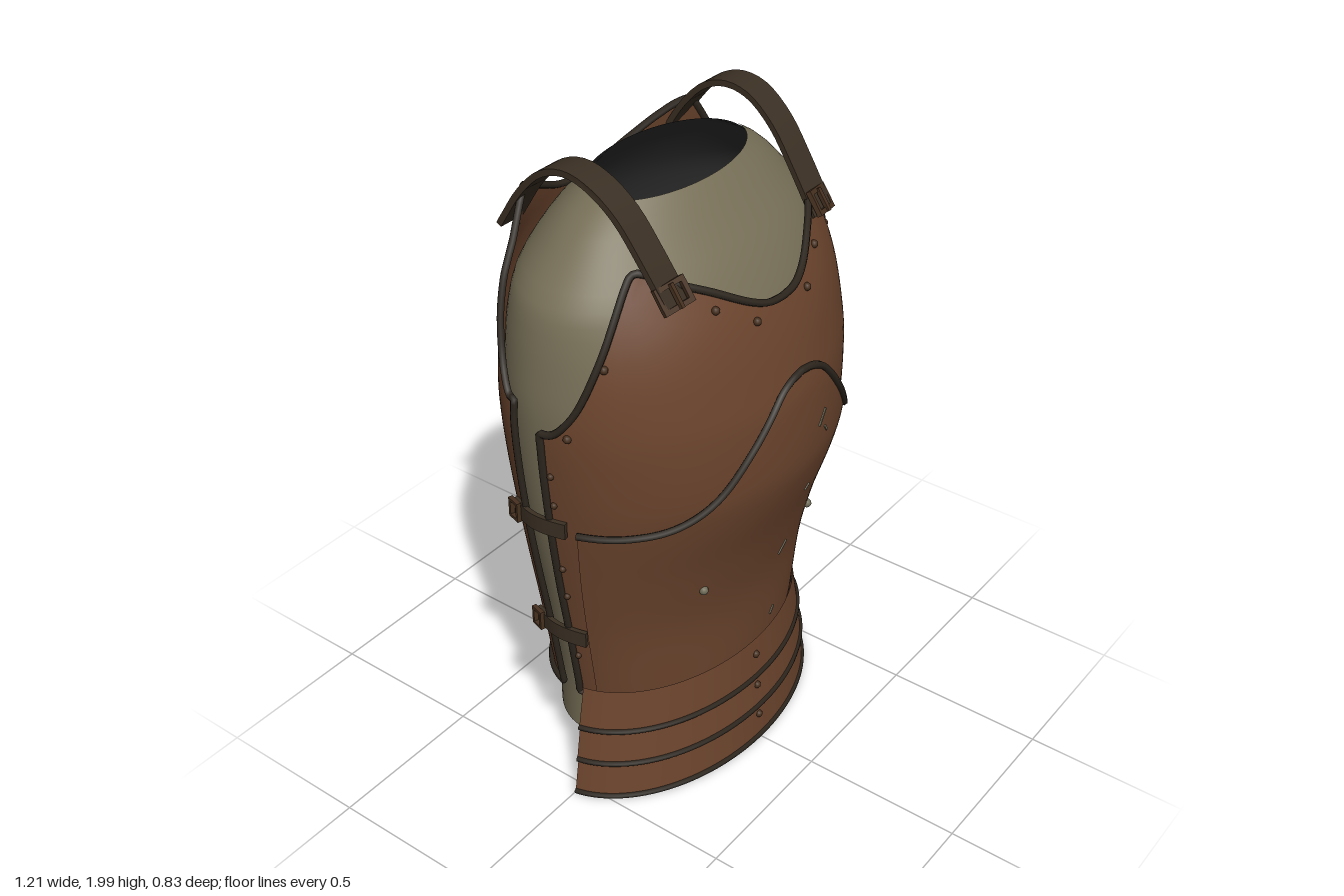
import * as THREE from 'three';
import { mergeVertices, toCreasedNormals } from 'three/addons/utils/BufferGeometryUtils.js';

const RAD = Math.PI / 180, Z0 = -0.05;

// Smooth interpolation through [position, value] pairs
function curve(keys) {
  const n = keys.length - 1;
  const slope = i => {
    const a = keys[Math.max(0, i - 1)], b = keys[Math.min(n, i + 1)];
    return (b[1] - a[1]) / (b[0] - a[0]);
  };
  return p => {
    let i = 0;
    while (i < n - 1 && p > keys[i + 1][0]) i++;
    const h = keys[i + 1][0] - keys[i][0];
    const t = Math.min(1, Math.max(0, (p - keys[i][0]) / h)), t2 = t * t, t3 = t2 * t;
    return (2 * t3 - 3 * t2 + 1) * keys[i][1] + (t3 - 2 * t2 + t) * h * slope(i)
      + (3 * t2 - 2 * t3) * keys[i + 1][1] + (t3 - t2) * h * slope(i + 1);
  };
}

// Torso half widths and depths by height
const plateWidth = [[.34, .46], [.6, .5], [.8, .535], [1, .565], [1.2, .585], [1.35, .59], [1.5, .575]];
const frontWidth = curve([...plateWidth, [1.6, .55], [1.7, .51], [1.76, .475]]);
const backWidth = curve([...plateWidth, [1.6, .565], [1.7, .545], [1.76, .52], [1.88, .48]]);
const frontDepth = curve([[.34, .305], [.6, .325], [.8, .37], [1, .435], [1.1, .457], [1.3, .455], [1.4, .438],
  [1.5, .415], [1.6, .38], [1.7, .33], [1.76, .3]]);
const backDepth = curve([[.34, .275], [.6, .295], [.8, .31], [1, .33], [1.2, .355], [1.35, .367], [1.5, .365],
  [1.6, .355], [1.7, .33], [1.76, .31], [1.88, .29]]);
const linerWidth = curve([[.16, .435], [.34, .44], [.6, .48], [1, .545], [1.35, .57], [1.5, .56], [1.6, .545],
  [1.67, .525], [1.72, .485], [1.78, .43], [1.84, .37], [1.89, .295]]);
const linerFront = curve([[.16, .27], [.34, .28], [.6, .3], [1, .4], [1.3, .42], [1.5, .385], [1.6, .35],
  [1.67, .315], [1.72, .285], [1.78, .24], [1.84, .195], [1.89, .155]]);
const linerBack = curve([[.16, .26], [.34, .26], [.6, .275], [1, .31], [1.35, .345], [1.5, .343], [1.6, .33],
  [1.7, .3], [1.78, .255], [1.84, .21], [1.89, .17]]);

// Surfaces: angle (degrees from the middle), height, outward offset -> point
const front = (d, y, o = 0) => new THREE.Vector3(
  (frontWidth(y) + o) * Math.sin(d * RAD), y, Z0 + (frontDepth(y) + o) * Math.cos(d * RAD));
const back = (d, y, o = 0) => {
  const spine = .012 * Math.exp(-((d / 9) ** 2)) * THREE.MathUtils.smoothstep(y, .7, 1.4);
  return new THREE.Vector3(-(backWidth(y) + o) * Math.sin(d * RAD), y,
    Z0 - (backDepth(y) + o - spine) * Math.cos(d * RAD));
};
const liner = (d, y, o = 0) => {
  const c = Math.cos(d * RAD);
  return new THREE.Vector3((linerWidth(y) + o) * Math.sin(d * RAD), y,
    Z0 + ((c > 0 ? linerFront : linerBack)(y) + o) * c);
};

// Curved sheet between a bottom height and a top edge that varies with angle
function sheet(surface, max, y0, top, off = 0, nu = 80, nv = 40) {
  const pos = [], idx = [];
  for (let j = 0; j <= nv; j++) for (let i = 0; i <= nu; i++) {
    const d = -max + 2 * max * i / nu;
    pos.push(...surface(d, y0 + (top(Math.abs(d)) - y0) * j / nv, off));
  }
  for (let j = 0; j < nv; j++) for (let i = 0; i < nu; i++) {
    const a = j * (nu + 1) + i, b = a + nu + 1;
    idx.push(a, a + 1, b + 1, a, b + 1, b);
  }
  let g = new THREE.BufferGeometry();
  g.setAttribute('position', new THREE.Float32BufferAttribute(pos, 3));
  g.setIndex(idx);
  g = mergeVertices(g, 1e-5);
  g.computeVertexNormals();
  return g;
}

const edge = (surface, max, height, off, n = 80) =>
  Array.from({ length: n + 1 }, (_, i) => -max + 2 * max * i / n).map(d => surface(d, height(Math.abs(d)), off));

const tube = (pts, r, closed = false) => new THREE.TubeGeometry(
  new THREE.CatmullRomCurve3(pts, closed, 'centripetal'), pts.length * 2, r, 6, closed);

// Trim running around a whole plate
function trimLoop(surface, max, y0, top) {
  const side = d => Array.from({ length: 24 }, (_, i) => surface(d, y0 + (top(max) - y0) * (i + 1) / 25, .004));
  return tube([...edge(surface, max, () => y0, .004), ...side(max),
    ...edge(surface, max, top, .004).reverse(), ...side(-max).reverse()], .011, true);
}

// Flat strap: a 2D path thickened, then extruded across its width
function band(pts, thick, width) {
  const path = new THREE.SplineCurve(pts.map(p => new THREE.Vector2(...p)));
  const outer = [], inner = [];
  for (let i = 0; i <= 28; i++) {
    const p = path.getPoint(i / 28), t = path.getTangent(i / 28);
    const n = new THREE.Vector2(-t.y, t.x).multiplyScalar(thick / 2);
    outer.push(p.clone().add(n));
    inner.unshift(p.clone().sub(n));
  }
  const g = new THREE.ExtrudeGeometry(new THREE.Shape([...outer, ...inner]), { depth: width, bevelEnabled: false });
  return toCreasedNormals(g.translate(0, 0, -width / 2), .6);
}

function buckleFrame(w, h, bar) {
  const rect = (C, x, y) => new C([[-x, -y], [x, -y], [x, y], [-x, y]].map(p => new THREE.Vector2(...p)));
  const s = rect(THREE.Shape, w / 2, h / 2);
  s.holes.push(rect(THREE.Path, w / 2 - bar, h / 2 - bar));
  return new THREE.ExtrudeGeometry(s, { depth: .014, bevelEnabled: false }).translate(0, 0, -.007);
}

export function createModel() {
  const model = new THREE.Group();
  model.name = 'leatherCuirass';
  const material = (name, color, side = THREE.FrontSide) => {
    const m = new THREE.MeshStandardMaterial({ color, side });
    m.name = name;
    return m;
  };
  const leather = material('brown leather', 0x6b442d, THREE.DoubleSide);
  const cloth = material('padded cloth', 0x787058);
  const inside = material('dark lining', 0x2c2c2d, THREE.BackSide);
  const dark = material('dark trim', 0x2d261e);
  const strapMat = material('strap leather', 0x3a2f23);
  const buckleMat = material('buckle bronze', 0x46301f);
  const metal = material('dull metal', 0x6f6c58);
  const add = (name, geo, mat) => {
    const m = new THREE.Mesh(geo, mat);
    m.name = name;
    model.add(m);
    return m;
  };

  // Padded liner
  add('liner', sheet(liner, 180, .16, () => 1.89, 0, 96, 48), cloth);
  add('linerInside', sheet(liner, 180, .16, () => 1.89, -.006, 96, 48), inside);

  // Breastplate and backplate with neck and arm openings
  const frontTop = curve([[0, 1.6], [6, 1.605], [12, 1.625], [25, 1.685], [38, 1.73], [48, 1.76], [54, 1.76],
    [58, 1.69], [65, 1.55], [72, 1.43], [78, 1.365], [82, 1.34], [86, 1.335]]);
  const backTop = curve([[0, 1.745], [10, 1.757], [22, 1.8], [35, 1.85], [45, 1.88], [50, 1.87],
    [60, 1.69], [68, 1.5], [74, 1.42], [77, 1.4], [80, 1.4]]);
  add('breastplate', sheet(front, 86, .34, frontTop), leather);
  add('breastplateTrim', trimLoop(front, 86, .34, frontTop), dark);
  add('backplate', sheet(back, 80, .34, backTop), leather);
  add('backplateTrim', trimLoop(back, 80, .34, backTop), dark);

  // Belly plate layered over the breastplate
  const bellyTop = curve([[0, 1.395], [5, 1.385], [10, 1.355], [20, 1.24], [31, 1.12], [43, 1.05], [58, 1.025], [75, 1.02]]);
  add('bellyPlate', sheet(front, 75, .36, bellyTop, .014), leather);
  add('bellyPlateTrim', tube(edge(front, 75, bellyTop, .016), .011), dark);

  // Three overlapping waist bands
  const lames = [[.38, .245, .487, .325, .515, .338], [.26, .13, .507, .33, .532, .35], [.145, .01, .522, .343, .547, .356]];
  lames.forEach(([yt, yb, wt, dt, wb, db], i) => {
    const surface = (d, y) => {
      const t = (yt - y) / (yt - yb);
      return new THREE.Vector3((wt + (wb - wt) * t) * Math.sin(d * RAD), y, Z0 + (dt + (db - dt) * t) * Math.cos(d * RAD));
    };
    add('waistBand' + (i + 1), sheet(surface, 81.5, yb, () => yt, 0, 64, 4), leather);
    add('waistBandTrim' + (i + 1), tube(edge(surface, 81.5, () => yb, 0, 48), .009), dark);
    rivet('waistRivet', surface(0, yt - .055), buckleMat);
  });

  function rivet(name, p, mat, r = .012) {
    add(name, new THREE.SphereGeometry(r, 10, 8), mat).position.copy(p);
  }

  for (const s of [-1, 1]) {
    const side = s > 0 ? 'left' : 'right';

    // Shoulder strap with front buckle
    const strap = band([[.235, 1.68], [.15, 1.81], [.08, 1.905], [0, 1.968], [-.08, 1.987], [-.16, 1.96],
      [-.23, 1.89], [-.28, 1.815], [-.305, 1.775]], .018, .09);
    strap.rotateY(-Math.PI / 2);
    const p = strap.attributes.position;
    for (let i = 0; i < p.count; i++) p.setX(i, p.getX(i) + .35 - .35 * Math.max(0, p.getZ(i)) * .25);
    if (s < 0) strap.rotateY(Math.PI).scale(1, 1, -1).index;
    const strapMesh = add(side + 'ShoulderStrap', strap, strapMat);
    if (s < 0) {
      // Restore the winding after mirroring
      for (const a of Object.values(strap.attributes)) for (let i = 0; i < a.count; i += 3) {
        const v = [a.getX(i), a.getY(i), a.getZ(i)];
        a.setXYZ(i, a.getX(i + 1), a.getY(i + 1), a.getZ(i + 1));
        a.setXYZ(i + 1, ...v);
      }
      strapMesh.geometry = toCreasedNormals(strap, .6);
    }
    const buckle = add(side + 'ShoulderBuckle', buckleFrame(.1, .075, .014), buckleMat);
    buckle.position.set(s * .335, 1.715, .226);
    buckle.rotation.set(-.6, s * .25, 0);
    const pin = add(side + 'ShoulderBucklePin', new THREE.BoxGeometry(.012, .07, .012), buckleMat);
    pin.position.set(s * .335, 1.718, .235);
    pin.rotation.x = -.6;

    // Side straps bridging the gap between the plates
    for (const y of [1.025, .595]) {
      const w = frontWidth(y) + .012;
      const g = band([[s * (w - .012), -.035], [s * w, .02], [s * w, .08], [s * (w - .025), .155]], .014, .05);
      add(side + 'SideStrap', g.rotateX(-Math.PI / 2).translate(0, y, 0), strapMat);
      const b = add(side + 'SideBuckle', buckleFrame(.045, .062, .009), buckleMat);
      b.position.set(s * (w - .006), y, -.142);
      b.rotation.y = s * (Math.PI / 2 + .3);
    }

    // Rivets along the neck, arm openings and side edges
    for (const [d, drop] of [[12, .05], [25, .045], [42, .06], [63, .045], [76, .045]])
      rivet(side + 'EdgeRivet', front(s * d, frontTop(d) - drop, .002), buckleMat);
    for (const y of [1.2, 1.1, .86, .75, .5]) rivet(side + 'SideRivet', front(s * 83.5, y, .002), buckleMat, .01);
    rivet(side + 'BellyRivet', front(s * 29, .74, .016), metal, .014);
  }

  // Small scratches on the belly
  for (const [x, y, len] of [[.09, 1.2, .055], [.115, 1.15, .025], [.095, .94, .025], [.09, .69, .05], [.09, .435, .03]]) {
    const d = Math.asin(x / frontWidth(y)) / RAD;
    const m = add('scratch', new THREE.BoxGeometry(.007, len, .006), metal);
    m.position.copy(front(d, y, .015));
    m.rotation.set(Math.atan((frontDepth(y + .03) - frontDepth(y - .03)) / .06), .12, y === 1.15 ? .6 : -.7);
  }
  return model;
}
